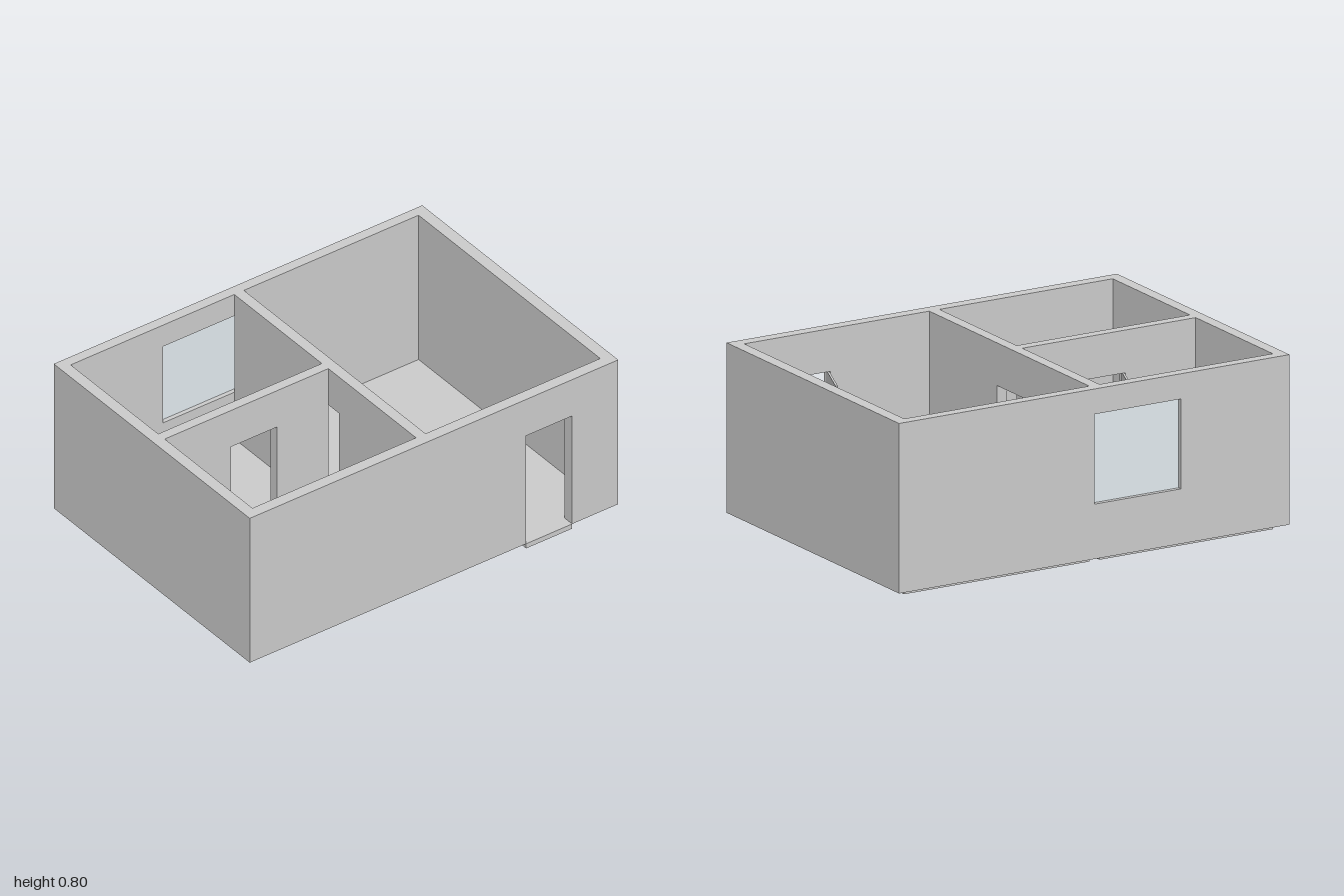
import * as THREE from 'three';

const BASE = 0.025, TOP = 0.8, DOOR_TOP = 0.605;

export function createModel() {
  const model = new THREE.Group();
  model.name = 'floorPlanHouse';
  const grey = new THREE.MeshStandardMaterial({ color: 0xcccccc });
  const glass = new THREE.MeshStandardMaterial({ color: 0xe2eaef });

  // Box given by its min and max corners
  function block(name, [x0, x1], [y0, y1], [z0, z1], material = grey) {
    const mesh = new THREE.Mesh(new THREE.BoxGeometry(x1 - x0, y1 - y0, z1 - z0), material);
    mesh.position.set((x0 + x1) / 2, (y0 + y1) / 2, (z0 + z1) / 2);
    mesh.name = name;
    model.add(mesh);
    return mesh;
  }

  // Upright wall from a to b along its length, with an optional doorway or window
  function wall(name, [a, b], thickness, { door, window } = {}) {
    const points = [[a, BASE]];
    if (door) {
      points.push([door[0], BASE], [door[0], DOOR_TOP], [door[1], DOOR_TOP], [door[1], BASE]);
    }
    points.push([b, BASE], [b, TOP], [a, TOP]);
    const shape = new THREE.Shape(points.map(([x, y]) => new THREE.Vector2(x, y)));
    if (window) {
      const [x0, x1, y0, y1] = window;
      shape.holes.push(new THREE.Path([[x0, y0], [x0, y1], [x1, y1], [x1, y0]]
        .map(([x, y]) => new THREE.Vector2(x, y))));
    }
    const geometry = new THREE.ExtrudeGeometry(shape, { depth: thickness, bevelEnabled: false });
    const mesh = new THREE.Mesh(geometry, grey);
    mesh.name = name;
    model.add(mesh);
    return mesh;
  }

  // Outer walls
  wall('frontWall', [-1, 1], 0.055, { door: [0.5, 0.75] }).position.z = 0.665;
  wall('backWall', [-1, 1], 0.05, { window: [-0.445, 0, 0.275, 0.685] }).position.z = -0.72;
  block('rightWall', [-1, -0.945], [BASE, TOP], [-0.67, 0.665]);
  block('leftWall', [0.943, 1], [BASE, TOP], [-0.67, 0.665]);

  // Partitions; the long one runs front to back, so its length is turned onto z
  const longPartition = wall('longPartition', [-0.665, 0.67], 0.052, { door: [-0.1, 0.15] });
  longPartition.rotation.y = Math.PI / 2;
  longPartition.position.x = -0.057;
  wall('crossPartition', [-0.945, -0.057], 0.048, { door: [-0.585, -0.335] }).position.z = -0.027;

  // Window pane
  block('windowPane', [-0.445, 0], [0.275, 0.685], [-0.699, -0.691], glass);

  // Room floors, set between the wall lines, and sills that bridge the doorways
  const floor = [0, BASE];
  block('largeRoomFloor', [-0.005, 0.943], floor, [-0.67, 0.665]);
  block('backRoomFloor', [-0.945, -0.057], floor, [-0.67, -0.027]);
  block('frontRoomFloor', [-0.945, -0.057], floor, [0.021, 0.665]);
  block('frontDoorSill', [0.5, 0.75], floor, [0.665, 0.72]);
  block('crossDoorSill', [-0.585, -0.335], floor, [-0.027, 0.021]);
  block('longDoorSill', [-0.057, -0.005], floor, [-0.15, 0.1]);

  // Door leaves, swung open about a hinge in the middle of the wall
  function doorLeaf(name, x, z) {
    const height = DOOR_TOP - 0.03;
    const geometry = new THREE.BoxGeometry(0.25, height, 0.01);
    geometry.translate(0.125, 0.03 + height / 2, 0);
    const leaf = new THREE.Mesh(geometry, grey);
    leaf.name = name;
    leaf.position.set(x, 0, z);
    leaf.rotation.y = THREE.MathUtils.degToRad(68);
    model.add(leaf);
  }
  doorLeaf('frontDoor', 0.501, 0.692);
  doorLeaf('innerDoor', -0.585, -0.002);

  return model;
}
